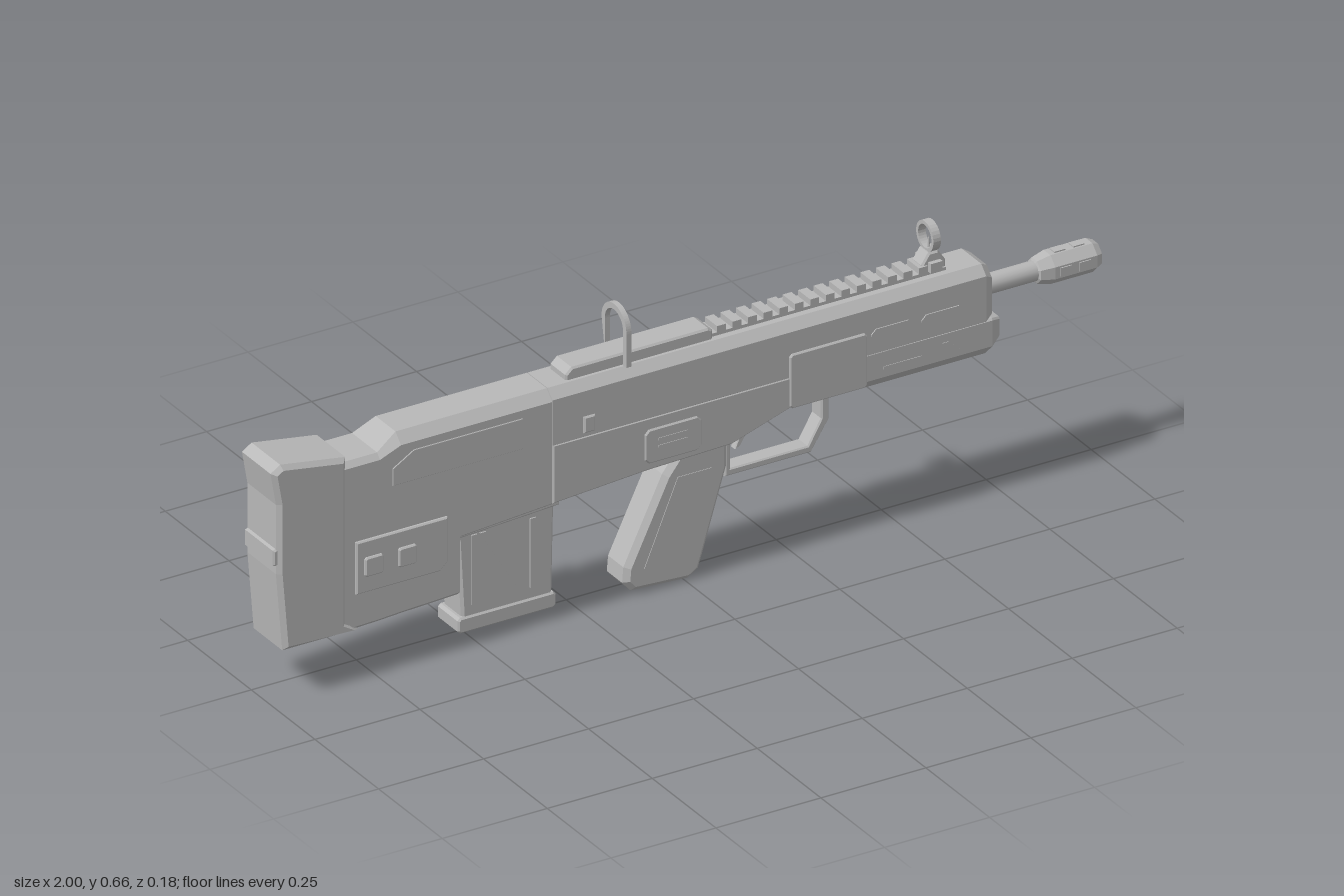
import * as THREE from 'three';
import { mergeGeometries } from 'three/addons/utils/BufferGeometryUtils.js';

const C = 0.016; // z of the centre plane

export function createModel() {
  const root = new THREE.Group();
  root.name = 'rifle';
  const grey = new THREE.MeshStandardMaterial({ color: 0xb8b8b8 });
  grey.name = 'grey';

  const add = (name, geo, smooth = false) => {
    if (!smooth) {
      if (geo.index) geo = geo.toNonIndexed();
      geo.computeVertexNormals();
    }
    const m = new THREE.Mesh(geo, grey);
    m.name = name;
    root.add(m);
    return m;
  };

  // Side profile [x, y] extruded from z0 to z1 with bevelled edges
  const slabGeo = (pts, z0, z1, b = 0.003, holes = []) => {
    const toV = (p) => new THREE.Vector2(p[0], p[1]);
    const s = new THREE.Shape(pts.map(toV));
    for (const h of holes) s.holes.push(new THREE.Path(h.map(toV)));
    const g = new THREE.ExtrudeGeometry(s, {
      depth: z1 - z0 - 2 * b, bevelEnabled: b > 0, bevelThickness: b, bevelSize: b, bevelOffset: -b, bevelSegments: 1,
    });
    return g.translate(0, 0, z0 + b);
  };
  const slab = (name, pts, half, b) => add(name, slabGeo(pts, C - half, C + half, b));
  const rect = (x0, x1, y0, y1, c = 0) => c
    ? [[x0 + c, y0], [x1 - c, y0], [x1, y0 + c], [x1, y1 - c], [x1 - c, y1], [x0 + c, y1], [x0, y1 - c], [x0, y0 + c]]
    : [[x0, y0], [x1, y0], [x1, y1], [x0, y1]];
  const box = (x0, x1, y0, y1, z0, z1) =>
    new THREE.BoxGeometry(x1 - x0, y1 - y0, z1 - z0).translate((x0 + x1) / 2, (y0 + y1) / 2, (z0 + z1) / 2);

  // Octagonal sections [x, yBottom, yTop, halfWidth, topChamfer, bottomChamfer] joined along x
  const loft = (name, sections) => {
    const rings = sections.map(([x, lo, hi, h, t, b]) =>
      [[hi, h - t], [hi - t, h], [lo + b, h], [lo, h - b], [lo, b - h], [lo + b, -h], [hi - t, -h], [hi, t - h]]
        .map(([y, z]) => [x, y, C + z]));
    const pos = [];
    const tri = (...p) => p.forEach((v) => pos.push(...v));
    for (let k = 0; k + 1 < rings.length; k++) {
      const a = rings[k], b = rings[k + 1];
      for (let i = 0; i < 8; i++) {
        const j = (i + 1) % 8;
        tri(a[i], a[j], b[j]);
        tri(a[i], b[j], b[i]);
      }
    }
    const first = rings[0], last = rings[rings.length - 1];
    for (let i = 1; i < 7; i++) {
      tri(first[0], first[i + 1], first[i]);
      tri(last[0], last[i], last[i + 1]);
    }
    const g = new THREE.BufferGeometry();
    g.setAttribute('position', new THREE.Float32BufferAttribute(pos, 3));
    return add(name, g);
  };

  // Stock and butt
  loft('stock', [
    [-0.83, 0.12, 0.51, 0.061, 0.012, 0.008], [-0.74, 0.123, 0.51, 0.061, 0.012, 0.008],
    [-0.69, 0.126, 0.54, 0.061, 0.022, 0.008], [-0.55, 0.132, 0.54, 0.061, 0.022, 0.008],
    [-0.549, 0.265, 0.54, 0.061, 0.022, 0.004], [-0.33, 0.28, 0.54, 0.061, 0.022, 0.004],
  ]);
  slab('butt', [[-0.97, 0.12], [-0.79, 0.12], [-0.82, 0.145], [-0.82, 0.525], [-0.975, 0.55], [-0.998, 0.535],
    [-0.985, 0.46], [-0.985, 0.3]], 0.066, 0.01);
  slab('buttRidge', [[-0.96, 0.31], [-0.96, 0.365], [-0.992, 0.355], [-0.992, 0.32]], 0.058, 0.004);

  // Receiver halves
  loft('upperReceiver', [
    [-0.328, 0.415, 0.54, 0.059, 0.02, 0.001], [0.705, 0.415, 0.54, 0.059, 0.02, 0.001],
    [0.722, 0.425, 0.53, 0.052, 0.02, 0.001],
  ]);
  slab('lowerReceiver', [[-0.328, 0.28], [-0.1, 0.295], [0.1, 0.3], [0.24, 0.345], [0.42, 0.345], [0.42, 0.417],
    [-0.328, 0.417]], 0.06, 0.004);
  loft('foregrip', [
    [0.4, 0.325, 0.418, 0.059, 0.004, 0.03], [0.72, 0.325, 0.418, 0.059, 0.004, 0.03],
    [0.742, 0.345, 0.412, 0.05, 0.004, 0.025],
  ]);
  slab('handguardPanel', rect(0.235, 0.42, 0.345, 0.47, 0.006), 0.064, 0.003);
  slab('gripPanel', rect(-0.11, 0.025, 0.312, 0.39, 0.01), 0.064, 0.003);
  slab('receiverLatch', rect(-0.255, -0.228, 0.425, 0.462), 0.064, 0.003);

  // Slots, small grooves and diagonal trims, same on both sides
  const trims = [];
  for (const s of [1, -1]) {
    const plate = (pts, face, out) => {
      const z = [C + s * face, C + s * out].sort((a, b) => a - b);
      trims.push(slabGeo(pts, z[0], z[1], 0));
    };
    for (const x of [0.43, 0.55]) plate(rect(x, x + 0.1, 0.446, 0.472, 0.011), 0.055, 0.0615);
    plate([[0.6, 0.395], [0.615, 0.395], [0.655, 0.36], [0.64, 0.36]], 0.055, 0.0605);
    plate(rect(0.46, 0.55, 0.374, 0.38), 0.055, 0.0605);
    for (const y of [0.345, 0.362]) plate(rect(-0.08, -0.01, y, y + 0.005), 0.06, 0.0655);
    for (const x of [-0.51, -0.37]) plate(rect(x, x + 0.014, 0.09, 0.25), 0.035, 0.041);
    plate([[-0.49, 0.25], [-0.475, 0.25], [-0.385, 0.1], [-0.4, 0.1]], 0.035, 0.041);
    plate([[-0.1, 0.06], [0.005, 0.06], [0.06, 0.25], [-0.02, 0.25]], 0.038, 0.0435);
  }
  add('sideTrims', mergeGeometries(trims));

  // Left side fittings
  add('leftStockPanel', slabGeo([[-0.8, 0.205], [-0.6, 0.205], [-0.582, 0.222], [-0.582, 0.325], [-0.8, 0.325]], 0.06, 0.084));
  for (const x of [-0.76, -0.68]) add('selectorButton', slabGeo(rect(x - 0.022, x + 0.022, 0.243, 0.287, 0.004), 0.07, 0.09));
  add('leftUpperPanel', slabGeo([[-0.71, 0.43], [-0.4, 0.43], [-0.4, 0.5], [-0.66, 0.5], [-0.71, 0.47]], 0.07, 0.079, 0.001));

  // Right side fittings
  add('rightControlPanel', slabGeo([[-0.71, 0.44], [-0.69, 0.425], [-0.38, 0.425], [-0.38, 0.51], [-0.69, 0.51], [-0.71, 0.495]], -0.055, -0.03));
  add('rightControlPlate', slabGeo(rect(-0.53, -0.4, 0.445, 0.49, 0.006), -0.062, -0.05));
  add('rightLowerPanel', slabGeo([[-0.79, 0.18], [-0.57, 0.18], [-0.55, 0.2], [-0.55, 0.4], [-0.64, 0.4], [-0.79, 0.2]], -0.05, -0.03));
  add('rightDiagonalTrim', slabGeo([[-0.6, 0.39], [-0.575, 0.39], [-0.72, 0.2], [-0.745, 0.2]], -0.054, -0.045, 0));
  const knob = (name, x, y, r, z0, z1) =>
    add(name, new THREE.CylinderGeometry(r, r, z1 - z0, 10).rotateX(Math.PI / 2).translate(x, y, (z0 + z1) / 2));
  for (const x of [-0.65, -0.61, -0.57]) knob('dial', x, 0.465, 0.016, -0.07, -0.04);
  knob('leverStem', -0.7, 0.452, 0.006, -0.08, -0.04);
  knob('leverCollar', -0.7, 0.452, 0.017, -0.062, -0.04);
  knob('leverTip', -0.7, 0.452, 0.012, -0.092, -0.077);
  add('chargingSlot', slabGeo(rect(0.13, 0.34, 0.475, 0.51, 0.006), -0.05, -0.03, 0.002));
  knob('chargingStem', 0.31, 0.492, 0.012, -0.068, -0.04);
  add('chargingHandle', slabGeo(rect(0.283, 0.337, 0.472, 0.513, 0.008), -0.078, -0.062));
  add('boltRelease', slabGeo(rect(0.06, 0.11, 0.44, 0.465, 0.006), -0.056, -0.04));

  // Magazine, pistol grip, trigger and guard
  slab('magazine', [[-0.53, 0.06], [-0.315, 0.06], [-0.31, 0.29], [-0.542, 0.28]], 0.038, 0.006);
  slab('magazineBase', rect(-0.542, -0.308, 0.03, 0.066, 0.006), 0.042, 0.004);
  slab('magazineWell', [[-0.55, 0.255], [-0.305, 0.268], [-0.305, 0.29], [-0.55, 0.28]], 0.05, 0.004);
  slab('pistolGrip', [[-0.125, 0.012], [0.01, 0.004], [0.035, 0.02], [0.045, 0.05], [0.103, 0.24], [0.103, 0.305],
    [-0.015, 0.305], [-0.05, 0.26], [-0.142, 0.07], [-0.145, 0.035]], 0.042, 0.012);
  slab('triggerGuard', [[0.107, 0.305], [0.107, 0.205], [0.312, 0.205], [0.354, 0.27], [0.354, 0.35], [0.336, 0.35],
    [0.336, 0.276], [0.304, 0.221], [0.12, 0.221], [0.12, 0.305]], 0.02, 0.003);
  slab('trigger', [[0.135, 0.32], [0.165, 0.32], [0.165, 0.285], [0.15, 0.26], [0.137, 0.255], [0.148, 0.285]], 0.009, 0.002);

  // Barrel and eight-sided muzzle
  const lathe = (name, pts, sides, smooth) => {
    const g = new THREE.LatheGeometry(pts.map((p) => new THREE.Vector2(p[0], p[1])), sides, Math.PI / sides);
    return add(name, g.rotateZ(-Math.PI / 2).translate(0, 0.465, C), smooth);
  };
  add('barrel', new THREE.CylinderGeometry(0.022, 0.022, 0.18, 16).rotateZ(-Math.PI / 2).translate(0.79, 0.465, C), true);
  lathe('muzzle', [[0.018, 0.85], [0.028, 0.855], [0.036, 0.885], [0.036, 0.985], [0.029, 1], [0.014, 1], [0.014, 0.94], [0, 0.94]], 8);
  const vents = [];
  for (const x of [0.91, 0.955]) {
    for (let i = 0; i < 4; i++) {
      vents.push(box(-0.013, 0.013, -0.01, 0.01, 0.03, 0.036).rotateX(i * Math.PI / 2).translate(x, 0.465, C));
    }
  }
  add('muzzleVents', mergeGeometries(vents));

  // Top rail
  slab('rearRail', [[-0.28, 0.53], [0.07, 0.53], [0.07, 0.56], [0.06, 0.566], [-0.265, 0.566], [-0.28, 0.552]], 0.032, 0.004);
  const rail = [box(0.07, 0.63, 0.535, 0.547, C - 0.024, C + 0.024)];
  for (let i = 0; i < 14; i++) {
    const x = 0.085 + i * 0.037;
    rail.push(box(x, x + 0.021, 0.54, 0.561, C - 0.024, C + 0.024));
  }
  add('toothedRail', mergeGeometries(rail));

  // Sights: an upright hoop at the rear, a smaller ring with a post in front
  const hoop = new THREE.Shape();
  hoop.moveTo(0.049, 0.54);
  hoop.absarc(0, 0.617, 0.049, 0, Math.PI, false);
  hoop.lineTo(-0.049, 0.54);
  hoop.lineTo(-0.036, 0.54);
  hoop.absarc(0, 0.617, 0.036, Math.PI, 0, true);
  hoop.lineTo(0.036, 0.54);
  const ring = new THREE.Shape();
  ring.absarc(0, 0.617, 0.034, 0, Math.PI * 2, false);
  ring.holes.push(new THREE.Path().absarc(0, 0.617, 0.026, 0, Math.PI * 2, true));
  const across = (name, shape, x, w) => add(name,
    new THREE.ExtrudeGeometry(shape, { depth: w, bevelEnabled: false, curveSegments: 14 })
      .rotateY(Math.PI / 2).translate(x, 0, C));
  across('rearSightHoop', hoop, -0.146, 0.012);
  across('frontSightRing', ring, 0.594, 0.018);
  slab('frontSightBase', [[0.575, 0.535], [0.632, 0.535], [0.632, 0.562], [0.615, 0.587], [0.592, 0.587], [0.575, 0.562]], 0.02, 0.004);
  add('frontSightPost', new THREE.ConeGeometry(0.005, 0.04, 6).translate(0.603, 0.6, C));
  add('frontSightScrews', box(0.59, 0.618, 0.545, 0.567, C - 0.031, C + 0.031));

  return root;
}
